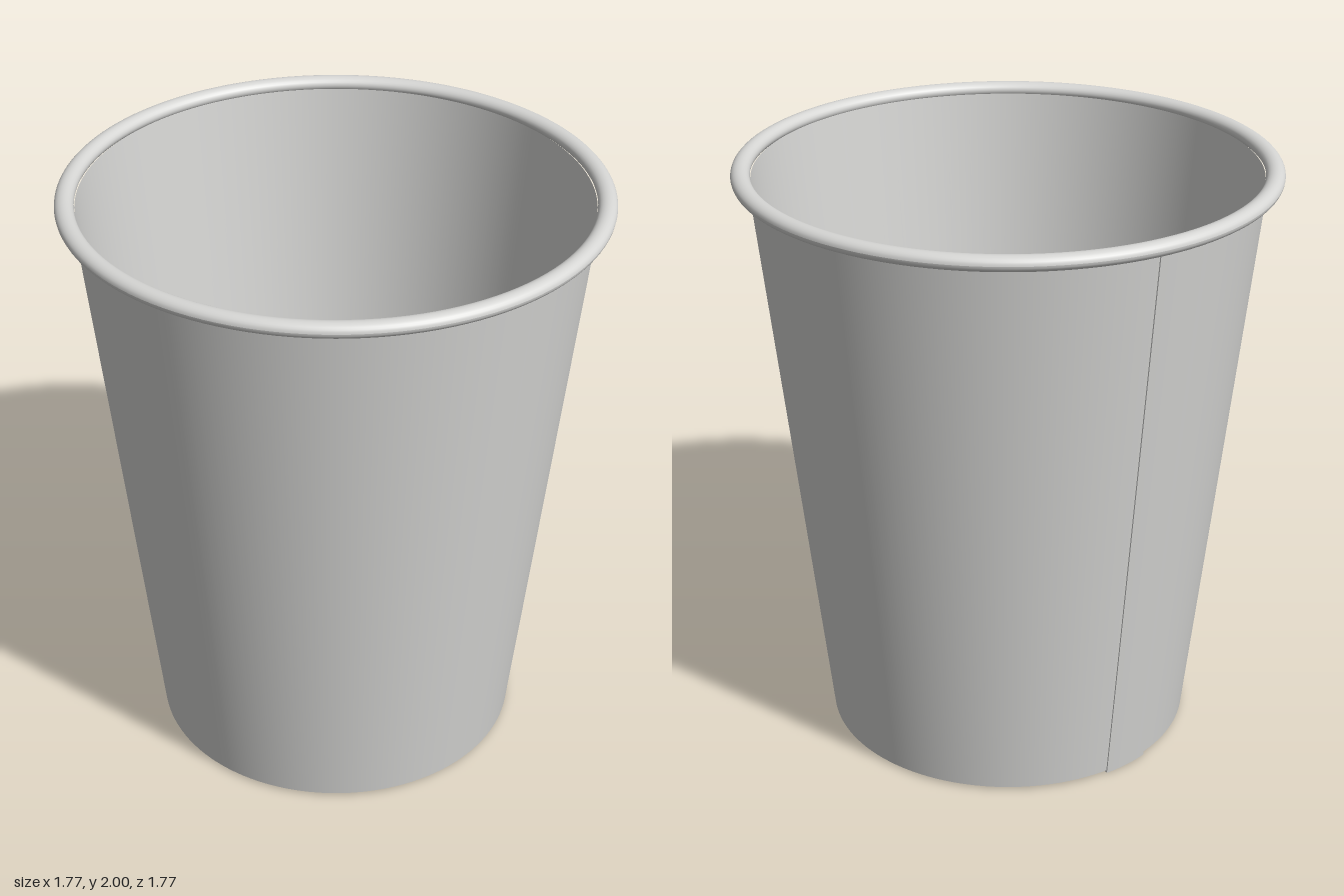
import * as THREE from 'three';

const paper = new THREE.MeshStandardMaterial({ color: 0xd6d6d4 });

const SEGMENTS = 128;
const FLOOR_Y = 0.12;      // top of the recessed floor
const THICK = 0.01;        // wall thickness
const LAP = 0.27;          // angular width of the glued overlap at the back
const TOP = 1.965;         // wall ends inside the rolled rim

// Outer radius of the tapered wall at height y
const wallR = (y) => 0.62 + 0.108 * y;

export function createModel() {
  const cup = new THREE.Group();
  cup.name = 'paperCup';

  // Surface of revolution; separate calls keep the edges between them sharp
  const turn = (name, pts, start = 0, length = Math.PI * 2) => {
    const points = pts.map(([r, y]) => new THREE.Vector2(r, y));
    const segs = Math.max(12, Math.round(SEGMENTS * length / (Math.PI * 2)));
    const mesh = new THREE.Mesh(new THREE.LatheGeometry(points, segs, start, length), paper);
    mesh.name = name;
    cup.add(mesh);
  };

  // Tapered wall, outside and inside
  turn('outerWall', [[wallR(0.008), 0.008], [wallR(TOP), TOP]]);
  turn('innerWall', [[wallR(TOP) - THICK, TOP], [wallR(FLOOR_Y) - THICK, FLOOR_Y]]);

  // Recessed floor with its skirt and the thin bottom edge
  const floorR = wallR(FLOOR_Y) - THICK;
  turn('floorTop', [[floorR, FLOOR_Y], [0, FLOOR_Y]]);
  turn('floorUnderside', [[0, FLOOR_Y - THICK], [floorR, FLOOR_Y - THICK]]);
  turn('baseSkirt', [[floorR, FLOOR_Y - THICK], [wallR(0) - THICK, 0.008]]);
  turn('baseEdge', [[wallR(0) - THICK, 0.008], [wallR(0.008), 0.008]]);

  // Overlapping flap of the side seam, running the full height at the back
  const flap = 0.005;
  const outside = [[wallR(0), 0], [wallR(0) + flap, 0], [wallR(TOP) + flap, TOP]];
  turn('seamBase', [[wallR(0) - THICK, 0], outside[1]], Math.PI, LAP);
  turn('seamFlap', outside.slice(1), Math.PI, LAP);
  turn('seamInnerBase', [[wallR(0) - THICK, 0.008], [wallR(0) - THICK, 0]], Math.PI, LAP);

  // Narrow side faces of the flap
  for (const [angle, flip] of [[Math.PI, false], [Math.PI + LAP, true]]) {
    const at = (r, y) => [r * Math.sin(angle), y, r * Math.cos(angle)];
    const a = at(wallR(0) - THICK, 0), b = at(wallR(0) + flap, 0);
    const c = at(wallR(TOP) + flap, TOP), d = at(wallR(TOP) - THICK, TOP);
    const corners = flip ? [a, c, b, a, d, c] : [a, b, c, a, c, d];
    const edge = new THREE.BufferGeometry();
    edge.setAttribute('position', new THREE.Float32BufferAttribute(corners.flat(), 3));
    edge.computeVertexNormals();
    const mesh = new THREE.Mesh(edge, paper);
    mesh.name = 'seamEdge';
    cup.add(mesh);
  }

  // Rolled rim: slightly flattened bead
  const rim = [];
  for (let i = 0; i <= 24; i++) {
    const a = (i / 24) * Math.PI * 2;
    rim.push([0.854 + 0.031 * Math.cos(a), 1.975 + 0.025 * Math.sin(a)]);
  }
  turn('rolledRim', rim);

  return cup;
}
